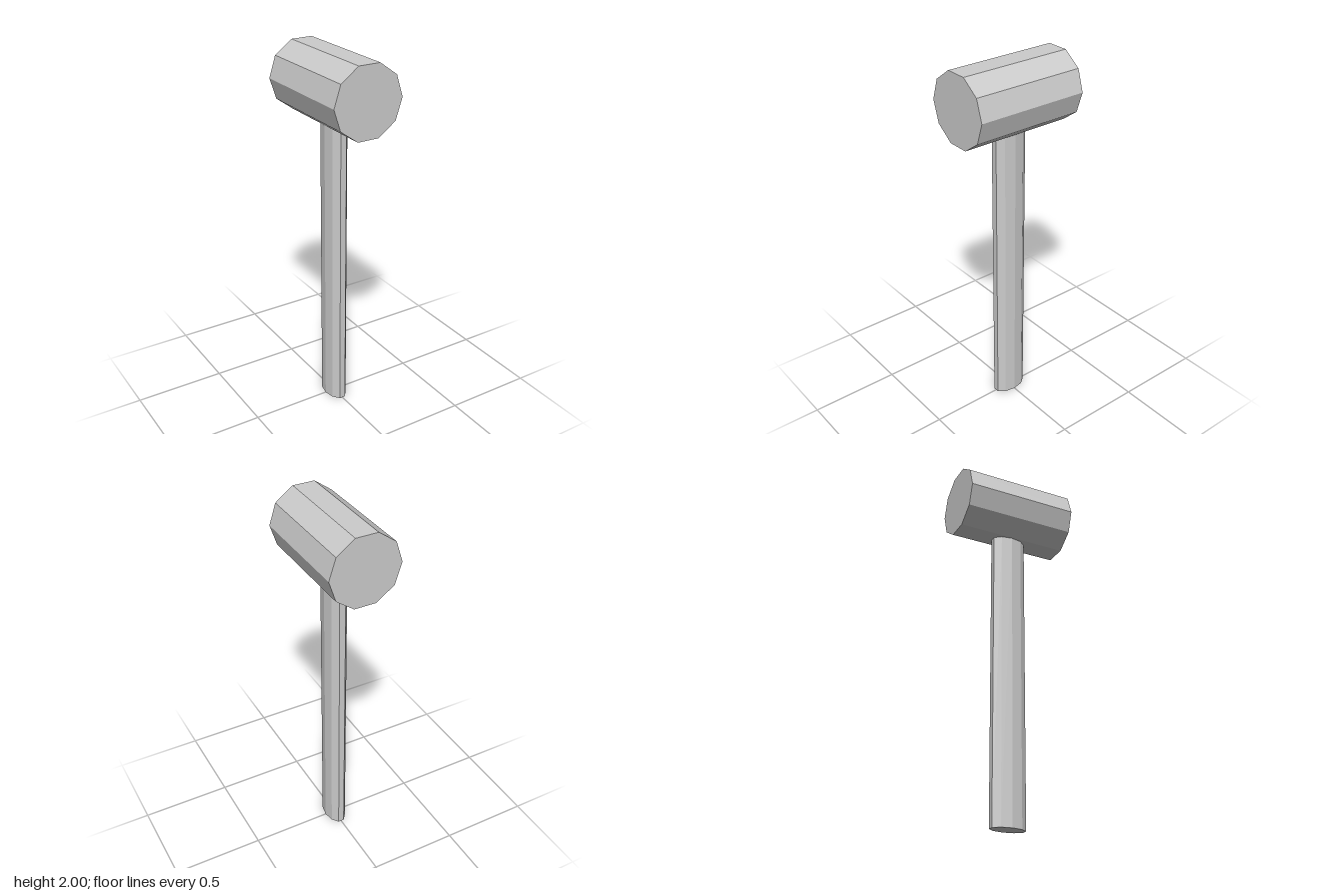
import * as THREE from 'three';

const material = new THREE.MeshStandardMaterial({ color: 0xcccccc, flatShading: true });

// Ten-sided prism along y with corners on the x axis
function prism(radius, length) {
  return new THREE.CylinderGeometry(radius, radius, length, 10, 1, false, Math.PI / 2);
}

export function createModel() {
  const group = new THREE.Group();
  group.name = 'mallet';

  // Head: decagonal barrel lying along z
  const radius = 0.194;
  const halfHeight = radius * Math.sin(Math.PI * 0.4);
  const head = new THREE.Mesh(prism(radius, 0.62).rotateX(Math.PI / 2), material);
  head.name = 'head';
  head.position.y = 2 - halfHeight;

  // Handle: flattened decagonal shaft, wider along z, meeting the head's flat underside
  const handleLength = 2 - 2 * halfHeight;
  const handle = new THREE.Mesh(prism(1, handleLength).scale(0.055, 1, 0.098), material);
  handle.name = 'handle';
  handle.position.y = handleLength / 2;

  group.add(head, handle);
  return group;
}
